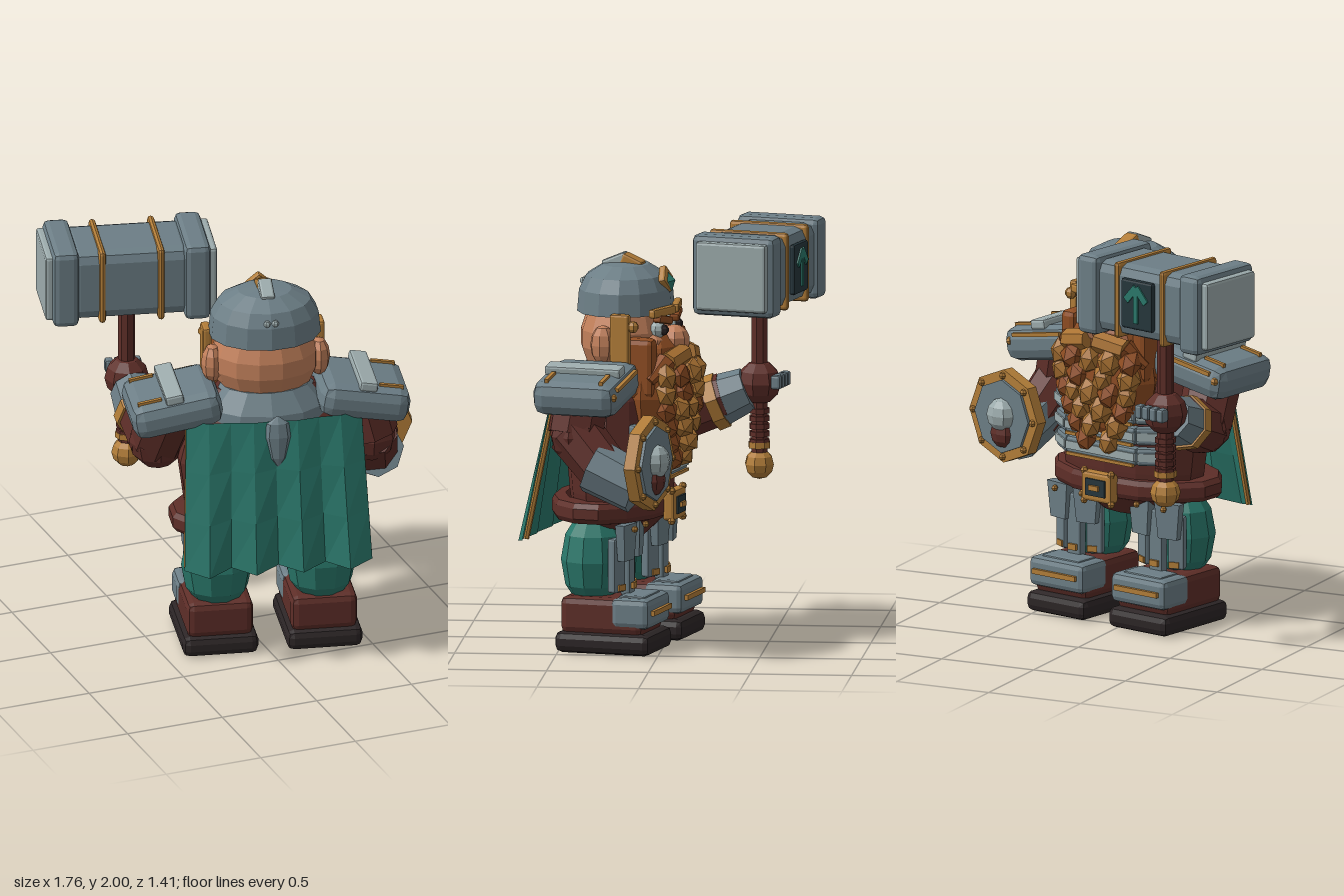
import * as THREE from 'three';
import { RoundedBoxGeometry } from 'three/addons/geometries/RoundedBoxGeometry.js';

const mat = (name, color) => {
  const m = new THREE.MeshStandardMaterial({ color, flatShading: true, side: THREE.DoubleSide });
  m.name = name;
  return m;
};

export function createModel() {
  const steel = mat('steel', 0x6c7e86), pale = mat('paleSteel', 0x9dacad), gold = mat('gold', 0xb27d38);
  const leather = mat('leather', 0x5e2e28), sole = mat('sole', 0x2c2526), teal = mat('tealCloth', 0x2a786b);
  const skin = mat('skin', 0xc2805b), beard = mat('beard', 0x8f4d22), curl = mat('beardCurl', 0xaa7232);
  const panel = mat('darkPanel', 0x26363c);

  const root = new THREE.Group();
  // The figure faces -z, turned slightly about the vertical
  const body = new THREE.Group();
  body.name = 'dwarf';
  body.position.set(0.05, 0, 0.2);
  body.rotation.y = -0.23;
  root.add(body);

  const add = (name, geo, m, pos, rot = [0, 0, 0], scale = [1, 1, 1], parent = body) => {
    const mesh = new THREE.Mesh(geo, m);
    mesh.name = name;
    mesh.position.set(...pos);
    mesh.rotation.set(...rot);
    mesh.scale.set(...scale);
    parent.add(mesh);
    return mesh;
  };
  const group = (name, pos, rot = [0, 0, 0]) => {
    const g = new THREE.Group();
    g.name = name;
    g.position.set(...pos);
    g.rotation.set(...rot);
    body.add(g);
    return g;
  };
  const box = (w, h, d) => new THREE.BoxGeometry(w, h, d);
  const bevel = (w, h, d, r) => new RoundedBoxGeometry(w, h, d, 1, r);
  const ball = (r, a = 10, b = 7) => new THREE.SphereGeometry(r, a, b);
  // Tapered cylinder between two points
  const limb = (name, a, b, r0, r1, m, sides = 8) => {
    const p = new THREE.Vector3(...a), q = new THREE.Vector3(...b), d = q.clone().sub(p);
    const mesh = add(name, new THREE.CylinderGeometry(r1, r0, d.length(), sides), m, p.clone().add(q).multiplyScalar(0.5).toArray());
    mesh.quaternion.setFromUnitVectors(new THREE.Vector3(0, 1, 0), d.normalize());
    return mesh;
  };
  const lathe = (pts, n) => new THREE.LatheGeometry(pts.map(p => new THREE.Vector2(...p)), n);

  // Boots, legs, greaves
  for (const s of [-1, 1]) {
    const u = s * 0.258 + 0.01;
    add('sole', bevel(0.375, 0.105, 0.495, 0.035), sole, [u, 0.057, -0.025]);
    add('boot', bevel(0.33, 0.185, 0.43, 0.035), leather, [u, 0.19, -0.015]);
    add('toeCap', bevel(0.345, 0.15, 0.2, 0.03), steel, [u, 0.21, -0.165]);
    add('toePlate', bevel(0.24, 0.04, 0.14, 0.015), steel, [u, 0.275, -0.16]);
    add('toeTrim', box(0.27, 0.025, 0.025), gold, [u, 0.215, -0.27]);
    add('leg', ball(1, 10, 6), teal, [u, 0.45, 0.075], [0, 0, 0], [0.178, 0.25, 0.16]);
    for (const k of [-1, 0, 1]) {
      add('shinPlate', bevel(0.085, k ? 0.27 : 0.32, 0.05, 0.012), steel,
        [u + k * 0.1, 0.44, k ? -0.075 : -0.1], [0, -k * 0.4, 0]);
      add('shinClasp', box(0.05, 0.03, 0.02), gold, [u + k * 0.1, 0.33, k ? -0.1 : -0.13], [0, -k * 0.4, 0]);
    }
    for (const k of [-1, 1]) {
      add('tasset', new THREE.CylinderGeometry(0.1, 0.075, 0.18, 4, 1).rotateY(Math.PI / 4), steel,
        [u + k * 0.085, 0.555, -0.12], [0, -k * 0.15, 0], [1, 1, 0.35]);
      add('tassetRivet', ball(0.017, 6, 4), gold, [u + k * 0.085, 0.62, -0.165]);
    }
  }

  // Torso, belt, chest plates
  add('torso', lathe([[0, 0.52], [0.2, 0.54], [0.38, 0.64], [0.41, 0.78], [0.44, 1.0], [0.38, 1.24], [0.25, 1.38], [0, 1.4]], 14),
    leather, [0, 0, 0.02], [0, 0, 0], [1, 1, 0.57]);
  add('belt', lathe([[0.38, 0.645], [0.465, 0.65], [0.485, 0.675], [0.485, 0.725], [0.465, 0.75], [0.38, 0.755]], 14),
    leather, [0, 0, 0.05], [0, 0, 0], [1, 1, 0.6]);
  add('buckle', bevel(0.19, 0.15, 0.06, 0.015), gold, [0, 0.7, -0.25]);
  add('bucklePanel', box(0.12, 0.085, 0.02), panel, [0, 0.7, -0.28]);
  add('buckleBar', box(0.06, 0.025, 0.02), gold, [0, 0.7, -0.293]);
  for (const s of [-1, 1]) for (const dy of [-0.075, 0.075]) add('buckleStud', ball(0.02, 6, 4), gold, [s * 0.085, 0.7 + dy, -0.265]);
  for (let i = 0; i < 3; i++) {
    const y = 0.88 + i * 0.105, w = 0.44;
    add('chestPlate', bevel(w, 0.09, 0.06, 0.015), steel, [0, y, -0.215 - i * 0.007]);
    add('chestRib', box(w * 0.98, 0.04, 0.02), pale, [0, y, -0.242 - i * 0.007]);
    add('chestTrim', box(w * 0.95, 0.016, 0.02), gold, [0, y - 0.042, -0.245 - i * 0.007]);
    for (const s of [-1, 1]) {
      const side = group('sidePlate', [s * (w / 2 + 0.055), y, -0.175 - i * 0.005], [0, -s * 0.6, 0]);
      add('sideArmour', bevel(0.16, 0.09, 0.05, 0.015), steel, [0, 0, 0], [0, 0, 0], [1, 1, 1], side);
      add('sideRib', box(0.15, 0.04, 0.02), pale, [0, 0, -0.022], [0, 0, 0], [1, 1, 1], side);
    }
  }

  // Pleated cape with gold edges
  const cape = new THREE.PlaneGeometry(2, 1, 8, 3);
  const cp = cape.attributes.position;
  const capePoint = (t, f) => {
    const fold = Math.round((t + 1) * 4) % 2 ? 0.03 : -0.03;
    return [t * (0.435 + 0.03 * f) + 0.01, 1.29 - 0.745 * f - fold * f * 0.4,
      0.235 + 0.17 * f + 0.05 * (1 - t * t) * (1 - f) + fold * (0.2 + 0.8 * f)];
  };
  for (let i = 0; i < cp.count; i++) cp.setXYZ(i, ...capePoint(cp.getX(i), 0.5 - cp.getY(i)));
  add('cape', cape, teal, [0, 0, 0]);
  for (const s of [-1, 1]) {
    const edge = f => { const [x, y, z] = capePoint(s, f); return [x - s * 0.012, y, z - 0.015]; };
    limb('capeTrim', edge(0.04), edge(0.99), 0.014, 0.014, gold, 6);
  }
  add('collar', lathe([[0.32, 1.24], [0.31, 1.3], [0.22, 1.4], [0, 1.42]], 12), steel, [0, 0, 0.04], [0, 0, 0], [1, 1, 0.7]);
  add('capeClasp', lathe([[0, -0.14], [0.04, -0.09], [0.066, 0.02], [0.055, 0.09], [0, 0.13]], 8), steel,
    [0.02, 1.19, 0.295], [-0.1, 0, 0], [1, 1, 0.45]);

  // Shoulder guards
  for (const s of [-1, 1]) {
    const pad = group('shoulderGuard', [s * 0.465, 1.325, 0.05], [0, 0, -s * 0.17]);
    const put = (n, g, m, p) => add(n, g, m, p, [0, 0, 0], [1, 1, 1], pad);
    put('shoulderPad', bevel(0.45, 0.175, 0.43, 0.06), steel, [0, 0, 0]);
    put('shoulderRidge', bevel(0.09, 0.05, 0.39, 0.012), pale, [0, 0.095, 0]);
    for (const z of [-0.14, 0.14]) put('shoulderPin', box(0.12, 0.02, 0.02), gold, [s * 0.12, 0.09, z]);
    put('shoulderStud', ball(0.022, 6, 4), gold, [s * 0.18, 0.02, -0.2]);
    put('shoulderTrim', box(0.3, 0.02, 0.02), gold, [0, 0.05, -0.21]);
  }

  // Shield arm
  limb('upperArm', [0.46, 1.3, 0.07], [0.51, 1.1, 0.09], 0.14, 0.14, leather);
  add('elbow', ball(0.14, 8, 6), leather, [0.51, 1.1, 0.08]);
  limb('forearm', [0.51, 1.12, 0.1], [0.55, 0.92, -0.09], 0.135, 0.125, leather);
  limb('bracer', [0.555, 0.96, -0.02], [0.55, 0.855, -0.25], 0.14, 0.13, steel);
  const shield = group('shield', [0.54, 0.985, -0.3], [0, -0.1, 0]);
  const disc = (r, h, n) => new THREE.CylinderGeometry(r, r, h, n).rotateX(Math.PI / 2);
  add('shieldRim', disc(0.235, 0.06, 8), gold, [0, 0, 0], [0, 0, 0], [1, 1, 1], shield);
  add('shieldFace', disc(0.185, 0.03, 8), steel, [0, 0, -0.03], [0, 0, 0], [1, 1, 1], shield);
  add('shieldBoss', ball(0.083, 8, 6), pale, [0, 0.01, -0.045], [0, 0, 0], [1, 1, 0.75], shield);
  add('shieldHand', ball(0.075, 8, 6), leather, [0, -0.085, -0.03], [0, 0, 0], [1, 1, 0.7], shield);
  for (let i = 0; i < 8; i++) {
    const a = i * Math.PI / 4;
    add('shieldRivet', ball(0.018, 6, 4), gold, [0.205 * Math.cos(a), 0.205 * Math.sin(a), -0.035], [0, 0, 0], [1, 1, 1], shield);
  }

  // Hammer arm
  const hand = [-0.607, 1.22, -0.485];
  limb('upperArm', [-0.48, 1.28, 0.05], [-0.52, 1.06, -0.08], 0.14, 0.135, leather);
  add('elbow', ball(0.14, 8, 6), leather, [-0.52, 1.06, -0.08]);
  limb('forearm', [-0.52, 1.05, -0.08], [-0.568, 1.14, -0.32], 0.135, 0.125, leather);
  limb('bracer', [-0.565, 1.125, -0.29], [-0.592, 1.185, -0.43], 0.13, 0.108, steel);
  limb('bracerTrim', [-0.557, 1.108, -0.25], [-0.567, 1.13, -0.305], 0.14, 0.138, gold);
  add('hand', ball(0.11, 8, 6), leather, hand);
  for (let i = 0; i < 4; i++) add('knuckle', bevel(0.042, 0.07, 0.05, 0.012), steel, [hand[0] - 0.07 + i * 0.046, 1.235, -0.595]);

  // War hammer
  const hammer = group('hammer', [-0.607, 1.8, -0.485], [0, -0.02, 0]);
  const ham = (n, g, m, p, r) => add(n, g, m, p, r, [1, 1, 1], hammer);
  ham('handle', new THREE.CylinderGeometry(0.042, 0.042, 0.85, 8), leather, [0, -0.56, 0]);
  for (let i = 0; i < 5; i++) ham('gripRing', new THREE.CylinderGeometry(0.052, 0.052, 0.025, 8), leather, [0, -0.72 - i * 0.038, 0]);
  ham('gripBand', new THREE.CylinderGeometry(0.056, 0.056, 0.03, 8), gold, [0, -0.89, 0]);
  ham('pommel', ball(0.075, 8, 6), gold, [0, -0.985, 0]);
  ham('hammerCore', bevel(0.62, 0.36, 0.385, 0.055), steel, [0, 0, 0]);
  for (const s of [-1, 1]) {
    ham('hammerFlange', bevel(0.13, 0.4, 0.43, 0.03), steel, [s * 0.325, 0, 0]);
    ham('strikePlate', bevel(0.06, 0.34, 0.365, 0.015), pale, [s * 0.395, 0, 0]);
    ham('hammerBand', bevel(0.035, 0.385, 0.41, 0.05), gold, [s * 0.145, 0, 0]);
  }
  ham('facePanel', bevel(0.2, 0.25, 0.03, 0.012), panel, [0, 0, -0.205]);
  ham('arrowStem', box(0.026, 0.17, 0.01), teal, [0, -0.005, -0.223]);
  for (const s of [-1, 1]) ham('arrowHead', box(0.095, 0.036, 0.01), teal, [s * 0.032, 0.055, -0.223], [0, 0, -s * 0.85]);

  // Head and face
  add('head', ball(1, 14, 9), skin, [0, 1.52, 0.0], [0, 0, 0], [0.268, 0.24, 0.22]);
  add('nose', ball(0.078, 9, 7), skin, [0, 1.51, -0.25]);
  for (const s of [-1, 1]) {
    add('ear', ball(1, 8, 6), skin, [s * 0.265, 1.51, 0.03], [0, 0, 0], [0.055, 0.1, 0.065]);
    add('cheek', ball(0.055, 8, 6), skin, [s * 0.12, 1.5, -0.18]);
    add('eye', ball(0.042, 8, 6), pale, [s * 0.105, 1.575, -0.2]);
    add('pupil', ball(0.028, 6, 5), sole, [s * 0.108, 1.575, -0.23]);
    add('eyebrow', bevel(0.13, 0.04, 0.05, 0.012), beard, [s * 0.1, 1.625, -0.225], [0, -s * 0.2, s * 0.2]);
    add('cheekGuard', bevel(0.045, 0.26, 0.1, 0.012), gold, [s * 0.28, 1.54, -0.065]);
    add('guardStud', ball(0.03, 7, 5), gold, [s * 0.28, 1.61, -0.13]);
    add('sideburn', bevel(0.09, 0.3, 0.18, 0.03), beard, [s * 0.225, 1.4, -0.14]);
    limb('moustache', [s * 0.02, 1.45, -0.3], [s * 0.18, 1.42, -0.27], 0.055, 0.055, curl, 7);
    limb('moustacheTip', [s * 0.17, 1.43, -0.27], [s * 0.26, 1.34, -0.21], 0.055, 0.025, beard, 7);
  }

  // Helmet
  add('helmet', lathe([[0, 0], [1, 0], [0.96, 0.46], [0.82, 0.74], [0.48, 0.95], [0, 1]], 14), steel,
    [0, 1.65, 0], [0, 0, 0], [0.278, 0.24, 0.235]);
  add('crest', bevel(0.07, 0.06, 0.13, 0.012), pale, [0, 1.885, 0.05], [0.4, 0, 0]);
  add('crestTrim', bevel(0.075, 0.06, 0.11, 0.012), gold, [0, 1.885, -0.035], [-0.4, 0, 0]);
  for (const s of [-1, 1]) {
    add('helmetStud', ball(0.018, 6, 5), pale, [s * 0.02, 1.785, 0.213]);
    add('browBand', bevel(0.2, 0.045, 0.04, 0.012), gold, [s * 0.11, 1.665, -0.225], [0, -s * 0.25, 0]);
  }
  add('gemMount', bevel(0.1, 0.1, 0.04, 0.012), gold, [0, 1.81, -0.205], [0.25, 0, Math.PI / 4]);
  add('gem', new THREE.OctahedronGeometry(0.052), teal, [0, 1.8, -0.225], [0.25, 0, 0], [0.8, 1, 0.6]);

  // Beard of faceted curls
  add('beardBase', ball(1, 10, 8), beard, [0, 1.25, -0.17], [0, 0, 0], [0.285, 0.34, 0.165]);
  for (let i = 0; i < 6; i++) {
    const y = 1.36 - i * 0.083, n = [5, 4, 5, 4, 3, 2][i], half = 0.26 * (1 - 0.8 * (i / 5.5) ** 2);
    for (let j = 0; j < n; j++) {
      const a = (j / (n - 1) * 2 - 1) * 0.95;
      add('beardCurl', new THREE.IcosahedronGeometry(0.064, 0), (i + j) % 3 ? curl : beard,
        [half * Math.sin(a), y, -0.2 - 0.135 * Math.cos(a) * (1 - i * 0.035)], [0.3, i + j, 0], [1, 1.15, 0.85]);
    }
  }
  return root;
}
